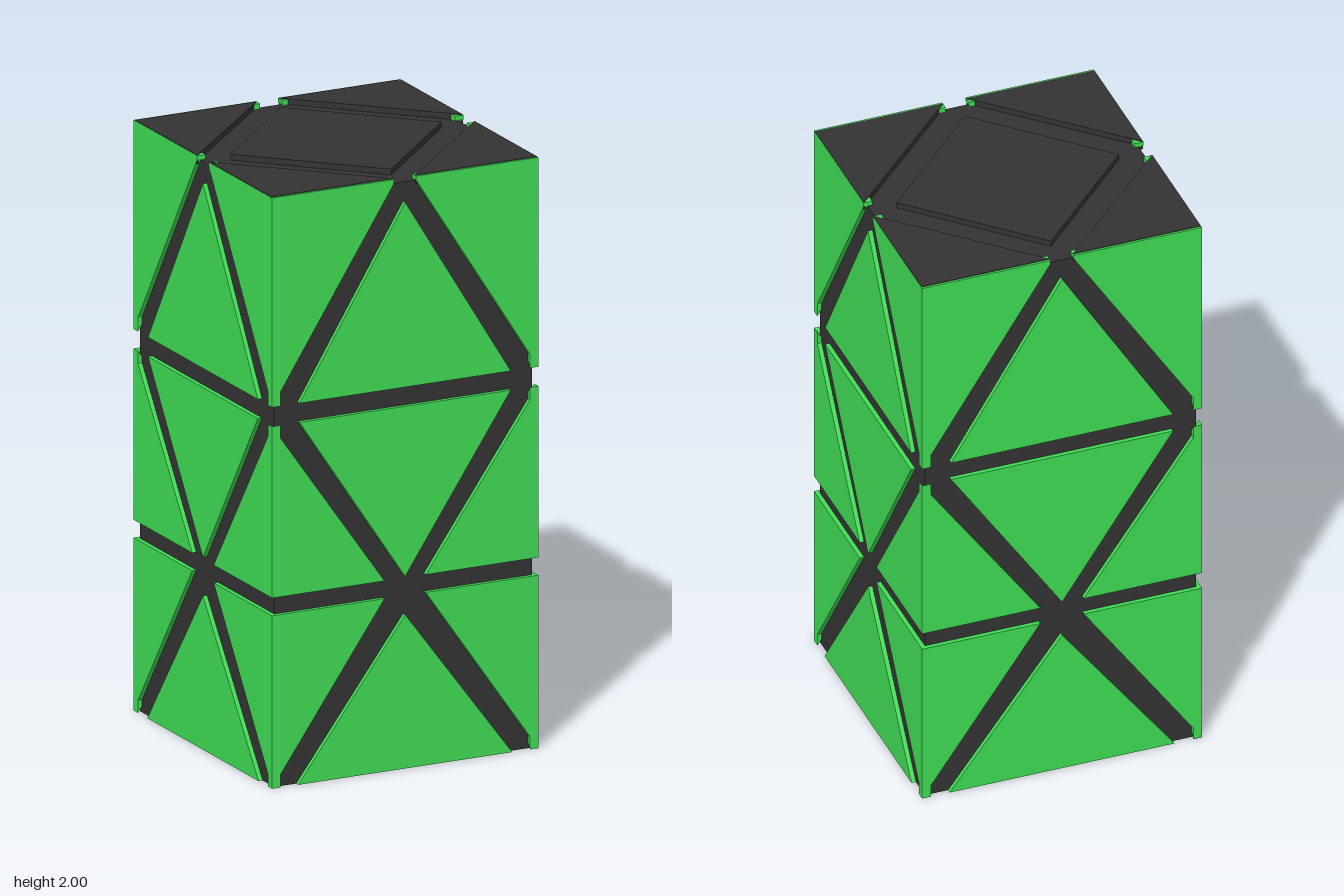
import * as THREE from 'three';

const green = new THREE.MeshStandardMaterial({ color: 0x40dd55 });
const dark = new THREE.MeshStandardMaterial({ color: 0x333333 });

const OUT = 0.485;   // outer face of the panels
const IN = 0.455;    // inner face of the panels
const CORE = 0.47;   // outer face of the dark frame
const TOP = 1.998;

function outline(points) {
  return new THREE.Shape(points.map(([x, y]) => new THREE.Vector2(x, y)));
}

function extrude(shape, depth) {
  return new THREE.ExtrudeGeometry(shape, { depth, bevelEnabled: false });
}

function addMesh(parent, name, geometry, material) {
  const mesh = new THREE.Mesh(geometry, material);
  mesh.name = name;
  parent.add(mesh);
  return mesh;
}

// Flat slab lying on the given height
function slab(points, y, height) {
  return extrude(outline(points), height).rotateX(-Math.PI / 2).translate(0, y, 0);
}

// Panels in the middle of each side
const centrePanels = {
  upperCentrePanel: [[-0.385, 1.29], [0.385, 1.29], [0, 1.915]],
  middleCentrePanel: [[0, 0.65], [0.385, 1.225], [-0.385, 1.225]],
  lowerCentrePanel: [[-0.39, 0], [0.39, 0], [0, 0.52]],
};

// Panels touching the corner edges, mirrored left and right
const cornerPanels = {
  upperCornerPanel: [[OUT, 1.29], [OUT, TOP], [0.04, TOP], [0.04, 1.985]],
  middleCornerPanel: [[0.075, 0.645], [OUT, 0.645], [OUT, 1.225]],
  lowerCornerPanel: [[OUT, 0], [OUT, 0.585], [0.075, 0.585]],
};

function createSide() {
  const side = new THREE.Group();
  const add = (name, points) =>
    addMesh(side, name, extrude(outline(points), OUT - IN).translate(0, 0, IN), green);
  for (const [name, points] of Object.entries(centrePanels)) add(name, points);
  for (const [name, points] of Object.entries(cornerPanels)) {
    add(name + 'Left', points);
    add(name + 'Right', points.map(([x, y]) => [-x, y]));
  }
  return side;
}

export function createModel() {
  const model = new THREE.Group();
  model.name = 'panelledTower';

  // Hollow dark frame, open at the bottom
  const square = (s) => [[-s, -s], [s, -s], [s, s], [-s, s]];
  const ring = outline(square(CORE));
  ring.holes.push(outline(square(0.46)));
  addMesh(model, 'frame', extrude(ring, 1.98).rotateX(-Math.PI / 2), dark);
  addMesh(model, 'frameTop', slab(square(CORE), 1.96, 0.02), dark);

  // Four identical panelled sides
  ['front', 'left', 'back', 'right'].forEach((name, i) => {
    const side = createSide();
    side.name = name + 'Side';
    side.rotation.y = i * Math.PI / 2;
    model.add(side);
  });

  // Raised diamond and corner plates on the roof
  const d = 0.385;
  addMesh(model, 'roofDiamond', slab([[d, 0], [0, d], [-d, 0], [0, -d]], 1.97, 0.03), dark);
  for (const sx of [-1, 1]) {
    for (const sz of [-1, 1]) {
      const corner = [[0.484, 0.04], [0.484, 0.477], [0.04, 0.477]];
      addMesh(model, 'roofCornerPlate',
        slab(corner.map(([x, z]) => [x * sx, z * sz]), 1.97, 0.03), dark);
    }
  }
  return model;
}
